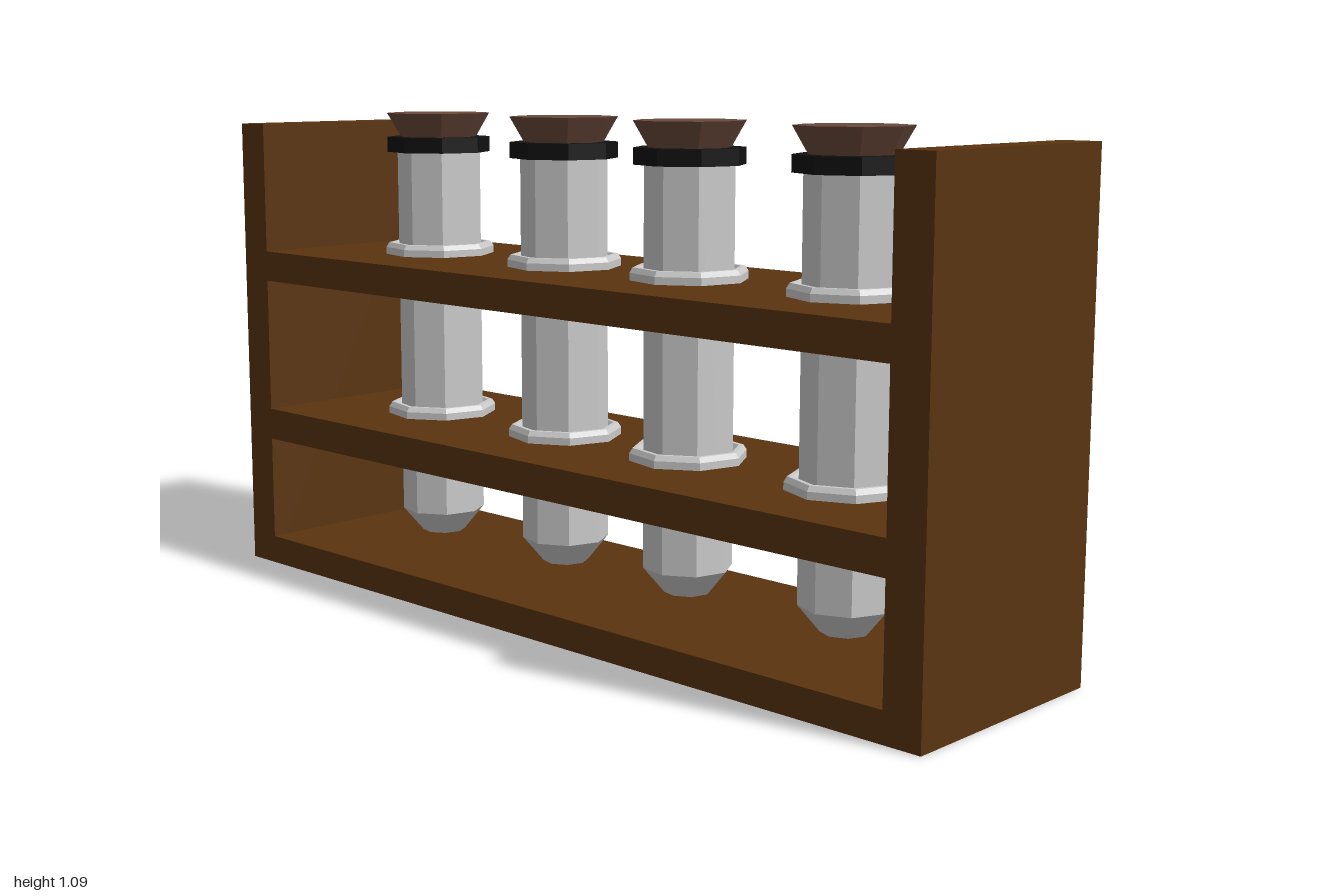
import * as THREE from 'three';

const SIDES = 8;

function material(color) {
  return new THREE.MeshStandardMaterial({ color, flatShading: true });
}

const wood = material(0x5a3410);
const cork = material(0x6b4a3b);
const rubber = material(0x111111);
const glass = material(0xcccccc);

function board(name, width, height, depth, y, z) {
  const mesh = new THREE.Mesh(new THREE.BoxGeometry(width, height, depth), wood);
  mesh.name = name;
  mesh.position.set(0, y, z);
  return mesh;
}

// Eight-sided turned part from [radius, height] pairs
function turned(name, profile, mat) {
  const points = profile.map(([r, y]) => new THREE.Vector2(r, y));
  const mesh = new THREE.Mesh(new THREE.LatheGeometry(points, SIDES), mat);
  mesh.name = name;
  return mesh;
}

// Bevelled collar resting on a shelf whose top is at the given height
function collar(name, y) {
  return turned(name, [
    [0.098, y - 0.03], [0.126, y - 0.03], [0.126, y + 0.016], [0.119, y + 0.027],
    [0.109, y + 0.027], [0.098, y + 0.012], [0.098, y - 0.03],
  ], glass);
}

function testTube(z, turn) {
  const tube = new THREE.Group();
  tube.name = 'testTube';
  tube.add(
    turned('tubeBody', [[0, 0.093], [0.05, 0.093], [0.096, 0.148], [0.096, 1.01], [0, 1.01]], glass),
    collar('lowerCollar', 0.38),
    collar('upperCollar', 0.76),
    turned('rubberRing', [[0.08, 0.998], [0.119, 0.998], [0.119, 1.033], [0.07, 1.033]], rubber),
    turned('stopper', [[0, 1.02], [0.08, 1.02], [0.119, 1.088], [0, 1.088]], cork),
  );
  tube.position.z = z;
  tube.rotation.y = turn;
  return tube;
}

export function createModel() {
  const model = new THREE.Group();
  model.name = 'testTubeRack';

  // Wooden frame, sitting very slightly askew
  const frame = new THREE.Group();
  frame.name = 'frame';
  for (const s of [1, -1]) {
    frame.add(board(s > 0 ? 'frontPanel' : 'backPanel', 0.53, 1.06, 0.085, 0.53, s * 0.956));
  }
  for (const [name, bottom, top] of [['base', 0, 0.065], ['lowerShelf', 0.307, 0.38], ['upperShelf', 0.69, 0.76]]) {
    frame.add(board(name, 0.53, top - bottom, 1.828, (top + bottom) / 2, 0));
  }
  frame.rotation.y = 0.005;
  model.add(frame);

  // Stoppered tubes
  for (const [z, turn] of [[0.626, 0], [0.203, 0.15], [-0.171, 0.1], [-0.594, 0.15]]) {
    model.add(testTube(z, turn));
  }
  return model;
}
